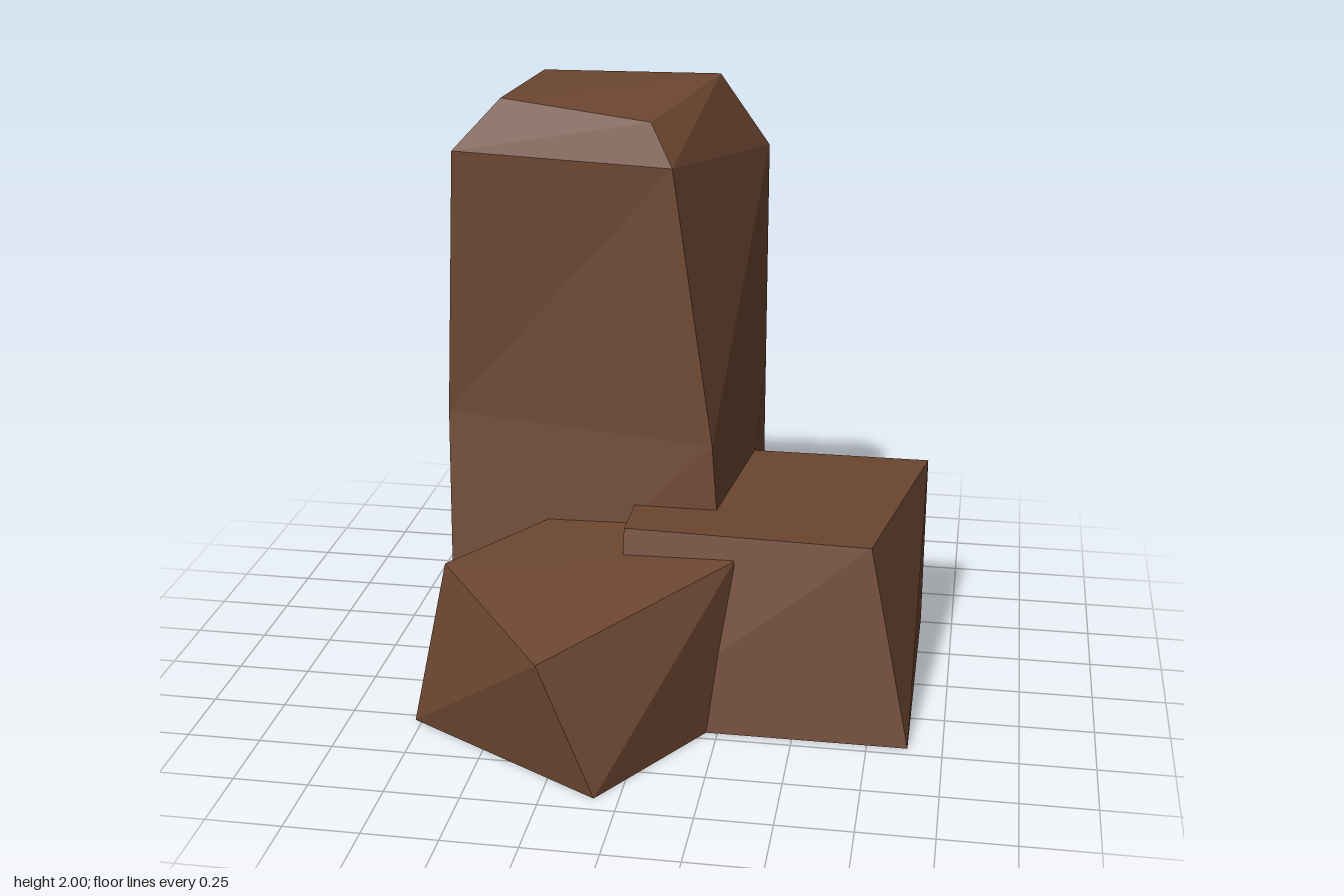
import * as THREE from 'three';

// Faceted stone lofted through four-cornered rings, listed from the ground up.
// Each ring runs counter-clockwise seen from above.
function stone(name, rings, material) {
  const out = [];
  const tri = (...corners) => corners.forEach((p) => out.push(...p));
  for (let i = 0; i < rings.length - 1; i++) {
    for (let j = 0; j < 4; j++) {
      const k = (j + 1) % 4;
      const a = rings[i][j], b = rings[i][k], c = rings[i + 1][k], d = rings[i + 1][j];
      tri(a, b, c);
      tri(a, c, d);
    }
  }
  // top and underside
  const t = rings[rings.length - 1], u = rings[0];
  tri(t[0], t[1], t[2]);
  tri(t[0], t[2], t[3]);
  tri(u[0], u[2], u[1]);
  tri(u[0], u[3], u[2]);

  const geometry = new THREE.BufferGeometry();
  geometry.setAttribute('position', new THREE.Float32BufferAttribute(out, 3));
  geometry.computeVertexNormals(); // unshared corners give flat facets
  const mesh = new THREE.Mesh(geometry, material);
  mesh.name = name;
  return mesh;
}

export function createModel() {
  const group = new THREE.Group();
  group.name = 'rockCluster';
  const rock = new THREE.MeshStandardMaterial({ color: 0x6b4530 });
  rock.name = 'brownRock';

  // tall tapering pillar with a bevelled crown
  group.add(stone('tallRock', [
    [[-0.735, 0, 0.155], [0.25, 0, 0.155], [0.25, 0, -0.83], [-0.885, 0, -0.94]],
    [[-0.77, 0.92, -0.02], [0.165, 0.86, 0.025], [0.25, 0.9, -0.83], [-0.78, 0.9, -0.885]],
    [[-0.735, 1.84, -0.045], [0.01, 1.8, -0.075], [0.25, 1.72, -0.83], [-0.665, 1.8, -0.785]],
    [[-0.59, 2, -0.165], [-0.08, 1.93, -0.185], [0.085, 2, -0.705], [-0.55, 2, -0.675]],
  ], rock));

  // low flat-topped block beside it
  group.add(stone('blockRock', [
    [[-0.1, 0, 0.46], [0.885, 0, 0.46], [0.885, 0, -0.525], [-0.1, 0, -0.525]],
    [[-0.1, 0.64, 0.26], [0.735, 0.64, 0.295], [0.885, 0.64, -0.525], [-0.1, 0.64, -0.525]],
  ], rock));

  // small slanted boulder in front
  group.add(stone('frontRock', [
    [[-0.775, 0, 0.53], [-0.08, 0, 0.935], [0.31, 0, 0.3], [-0.25, 0, -0.35]],
    [[-0.69, 0.525, 0.39], [-0.275, 0.42, 0.87], [0.28, 0.565, 0.305], [-0.12, 0.61, -0.27]],
  ], rock));

  return group;
}
